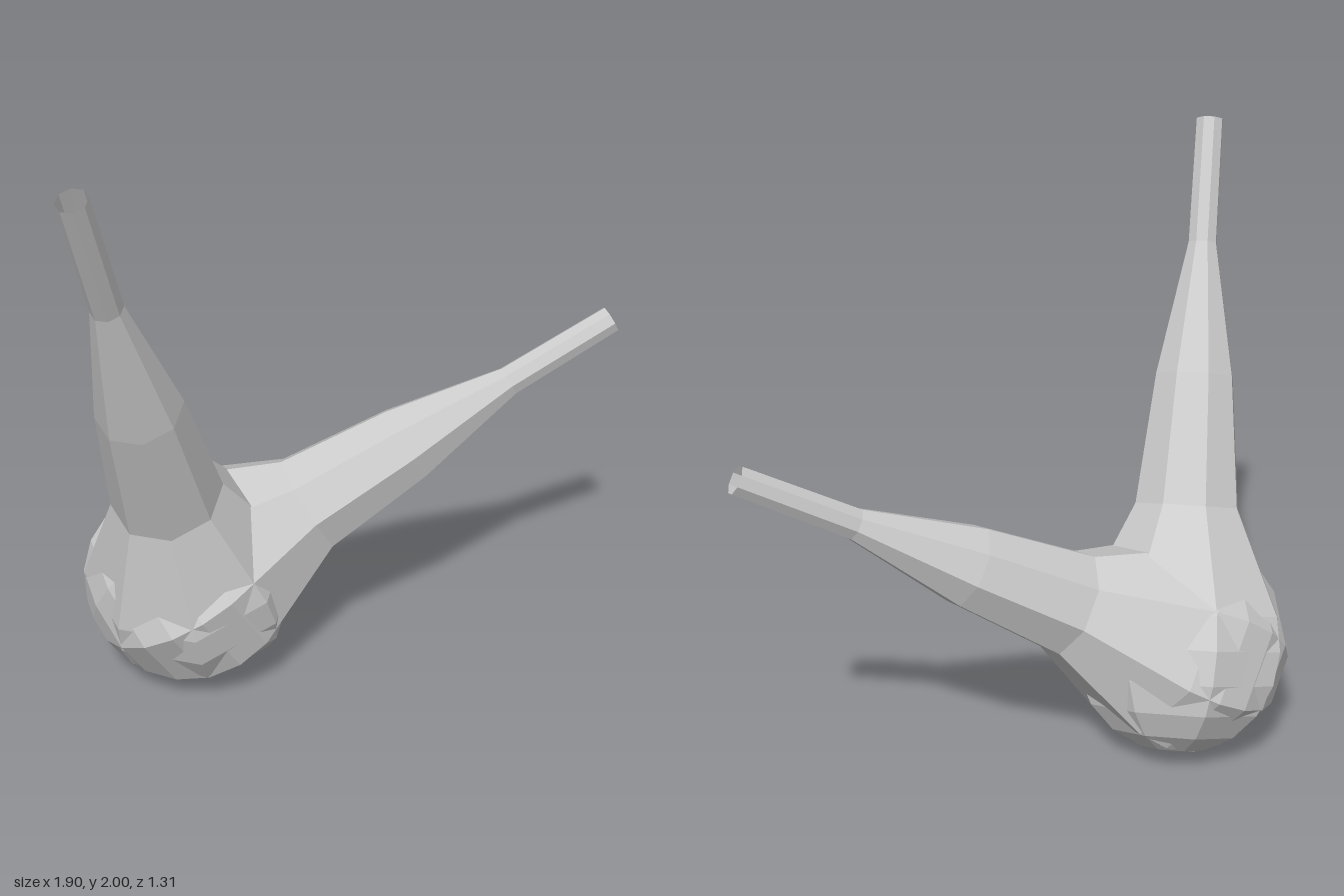
import * as THREE from 'three';

const CENTRE = new THREE.Vector3(-0.195, 0.365, -0.29);
const BULB_RADIUS = 0.368;
const SIDES = 8;

// A round bulb drawn out into a long, open neck that ends at the given tip.
// neck: [distance from bulb centre, radius] from the shoulder outwards
function flask(name, tip, neck, material) {
  const axis = new THREE.Vector3(...tip).sub(CENTRE);
  const profile = [];
  for (let deg = -90; deg <= 18; deg += 18) {
    const a = THREE.MathUtils.degToRad(deg);
    profile.push(new THREE.Vector2(Math.max(0, Math.cos(a)) * BULB_RADIUS, Math.sin(a) * BULB_RADIUS));
  }
  for (const [d, r] of neck) profile.push(new THREE.Vector2(r, d));
  profile.push(new THREE.Vector2(0.047, axis.length()));

  const mesh = new THREE.Mesh(new THREE.LatheGeometry(profile, SIDES), material);
  mesh.name = name;
  mesh.position.copy(CENTRE);
  mesh.quaternion.setFromUnitVectors(new THREE.Vector3(0, 1, 0), axis.normalize());
  return mesh;
}

export function createModel() {
  const group = new THREE.Group();
  group.name = 'twinNeckedBulb';
  const material = new THREE.MeshStandardMaterial({
    color: 0xcccccc, flatShading: true, side: THREE.DoubleSide,
  });

  // Tall neck leaning to the model's right
  group.add(flask('tallFlask', [-0.91, 1.98, 0.0],
    [[0.464, 0.184], [0.908, 0.138], [1.364, 0.05]], material));

  // Shorter neck reaching forward to the model's left
  group.add(flask('forwardFlask', [0.915, 1.185, 0.62],
    [[0.464, 0.18], [0.85, 0.138], [1.255, 0.052]], material));

  return group;
}
